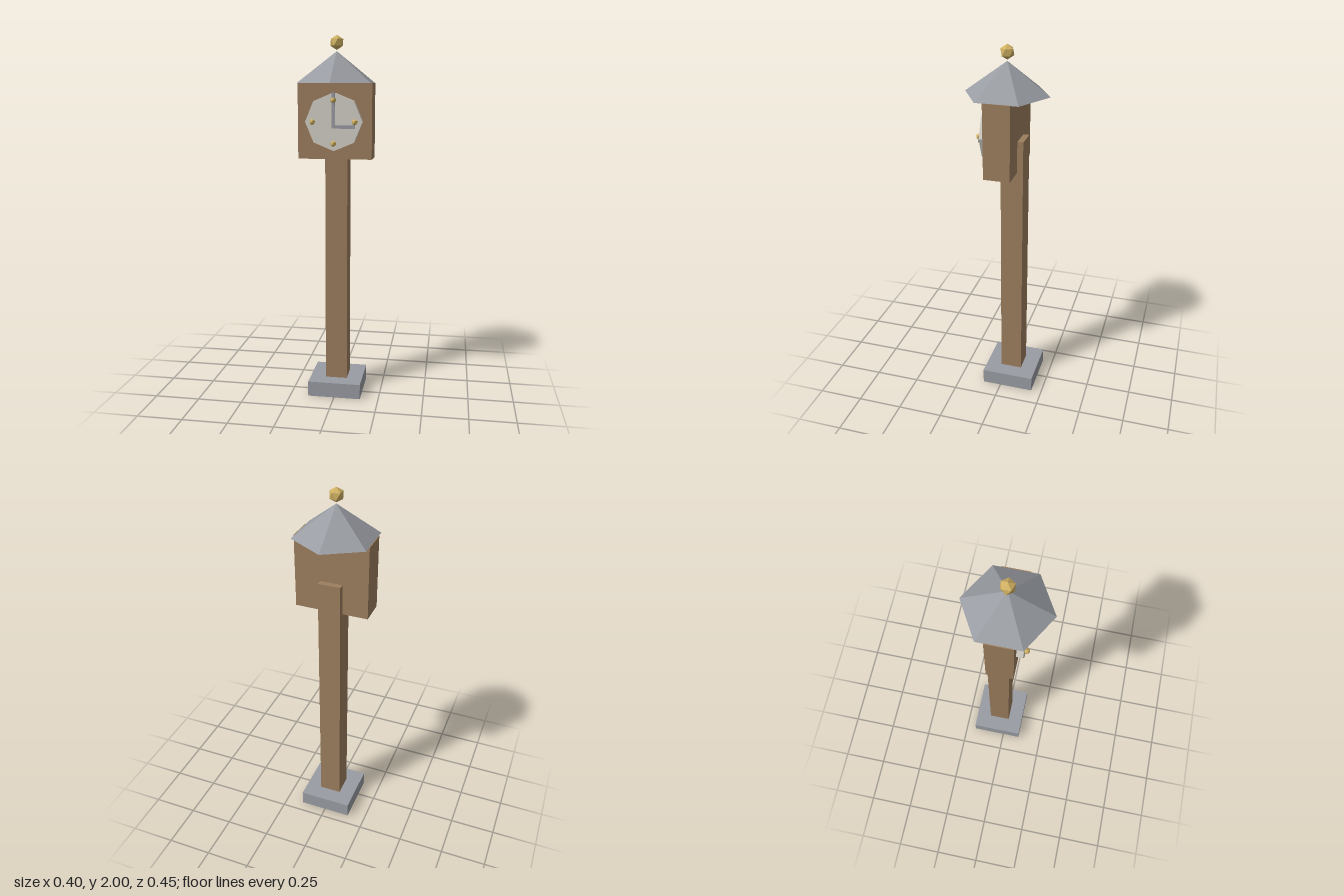
import * as THREE from 'three';

export function createModel() {
  const model = new THREE.Group();
  model.name = 'postClock';

  const material = (name, color) => {
    const m = new THREE.MeshStandardMaterial({ color, flatShading: true });
    m.name = name;
    return m;
  };
  const wood = material('wood', 0x9c7e5e);
  const grey = material('slateGrey', 0x999ca2);
  const cream = material('cream', 0xd3cfc6);
  const gold = material('gold', 0xd0b163);

  const add = (name, geometry, mat, x, y, z) => {
    const mesh = new THREE.Mesh(geometry, mat);
    mesh.name = name;
    mesh.position.set(x, y, z);
    model.add(mesh);
    return mesh;
  };
  // Box given by its min and max on each axis
  const box = (name, mat, [x0, x1], [y0, y1], [z0, z1]) =>
    add(name, new THREE.BoxGeometry(x1 - x0, y1 - y0, z1 - z0), mat,
      (x0 + x1) / 2, (y0 + y1) / 2, (z0 + z1) / 2);
  // Icosahedron standing on a corner
  const ball = (name, r, x, y, z) =>
    add(name, new THREE.IcosahedronGeometry(r, 0).rotateZ(-Math.atan(2 / (1 + Math.sqrt(5)))),
      gold, x, y, z);

  // Base, post and clock housing
  box('base', grey, [-0.148, 0.148], [0, 0.085], [-0.191, 0.105]);
  box('post', wood, [-0.061, 0.061], [0.085, 1.52], [-0.103, 0.019]);
  box('housing', wood, [-0.199, 0.199], [1.35, 1.75], [-0.071, 0.071]);

  // Six-sided roof with a corner to the front, and its finial
  add('roof', new THREE.ConeGeometry(0.226, 0.167, 6), grey, 0, 1.8325, 0);
  ball('finial', 0.039, 0, 1.961, 0);

  // Octagonal dial
  add('dial', new THREE.CylinderGeometry(0.153, 0.153, 0.05, 8).rotateX(Math.PI / 2),
    cream, 0, 1.549, 0.081);

  // Hands
  box('minuteHand', grey, [-0.009, 0.009], [1.515, 1.702], [0.105, 0.121]);
  box('hourHand', grey, [0.009, 0.115], [1.515, 1.533], [0.105, 0.121]);

  // Quarter-hour studs
  for (let i = 0; i < 4; i++) {
    const a = (i * Math.PI) / 2;
    ball('hourStud', 0.017, 0.113 * Math.sin(a), 1.549 + 0.113 * Math.cos(a), 0.116);
  }

  return model;
}
